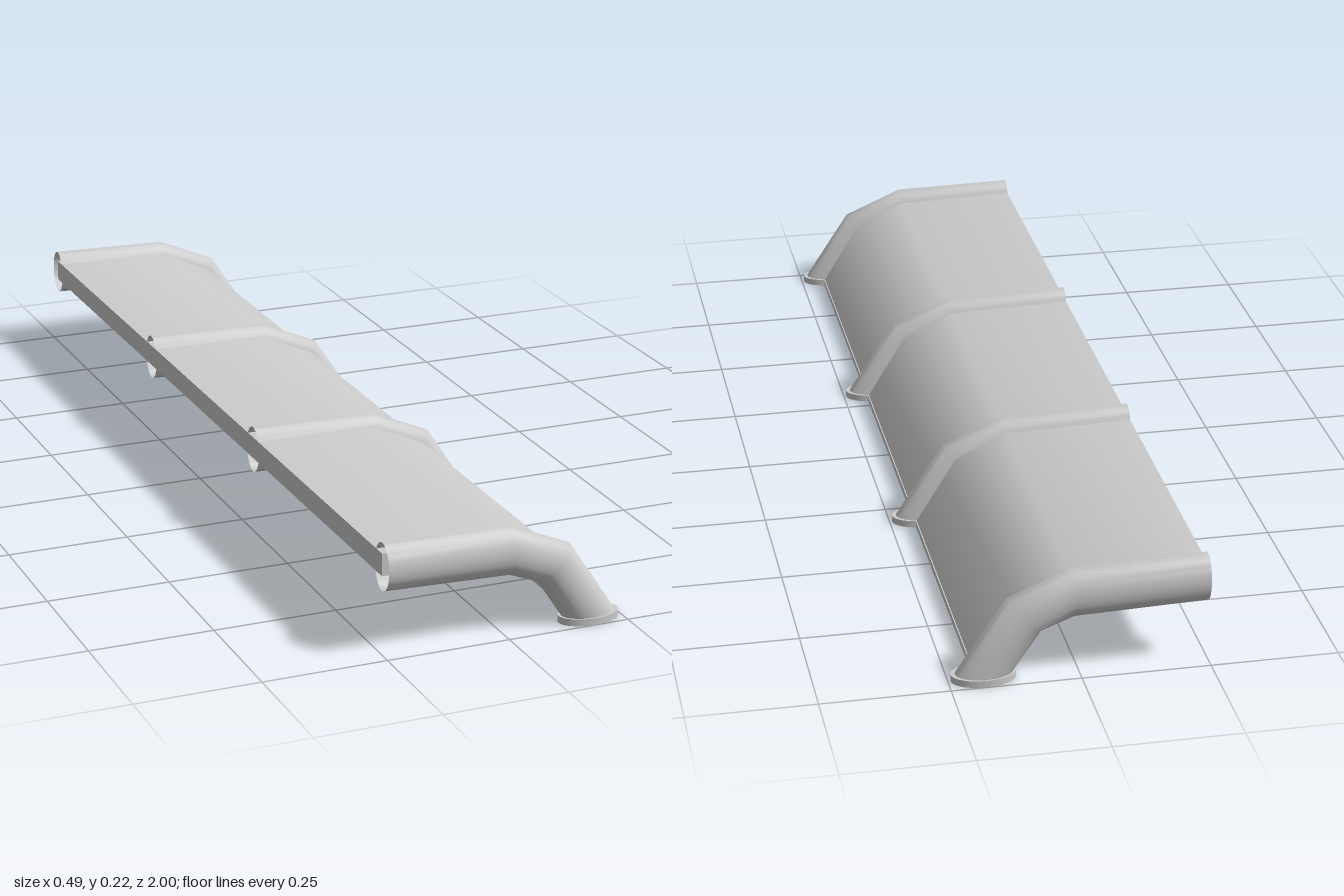
import * as THREE from 'three';
import { toCreasedNormals } from 'three/addons/utils/BufferGeometryUtils.js';

const HALF_LENGTH = 0.964;
const material = new THREE.MeshStandardMaterial({ color: 0xcccccc, side: THREE.DoubleSide });

// Rib stations: lower and upper point of each elliptical section, from open end to foot
const STATIONS = [
  [[-0.247, 0.126], [-0.247, 0.222]],
  [[0.011, 0.118], [0.011, 0.217]],
  [[0.073, 0.094], [0.139, 0.162]],
  [[0.127, 0.012], [0.238, 0.012]],
];

// Hollow bent tube lofted through the elliptical sections
function ribGeometry(halfWidth = 0.033, sides = 32) {
  const positions = [], indices = [];
  for (const [low, high] of STATIONS) {
    for (let i = 0; i <= sides; i++) {
      const a = (i / sides) * Math.PI * 2;
      const t = 0.5 + 0.5 * Math.cos(a);
      positions.push(
        low[0] + (high[0] - low[0]) * t,
        low[1] + (high[1] - low[1]) * t,
        halfWidth * Math.sin(a),
      );
    }
  }
  const row = sides + 1;
  for (let s = 0; s < STATIONS.length - 1; s++) {
    for (let i = 0; i < sides; i++) {
      const a = s * row + i, b = a + row;
      indices.push(a, a + 1, b, a + 1, b + 1, b);
    }
  }
  const geometry = new THREE.BufferGeometry();
  geometry.setAttribute('position', new THREE.Float32BufferAttribute(positions, 3));
  geometry.setIndex(indices);
  return toCreasedNormals(geometry, 0.75);
}

// Slab with the bent profile of the ribs, running the whole length
function panelGeometry() {
  const profile = [
    [-0.247, 0.155], [0.011, 0.149], [0.095, 0.117], [0.165, 0.012],
    [0.2, 0.012], [0.118, 0.145], [0.011, 0.194], [-0.247, 0.2],
  ].map(([x, y]) => new THREE.Vector2(x, y));
  const geometry = new THREE.ExtrudeGeometry(new THREE.Shape(profile), {
    depth: 2 * HALF_LENGTH, bevelEnabled: false,
  });
  geometry.translate(0, 0, -HALF_LENGTH);
  return toCreasedNormals(geometry, 0.75);
}

export function createModel() {
  const model = new THREE.Group();
  const add = (name, geometry, x = 0, y = 0, z = 0) => {
    const mesh = new THREE.Mesh(geometry, material);
    mesh.name = name;
    mesh.position.set(x, y, z);
    model.add(mesh);
    return mesh;
  };

  add('panel', panelGeometry());

  // Narrow sill under the panel's lower edge
  add('sill', new THREE.BoxGeometry(0.038, 0.014, 2 * HALF_LENGTH), 0.182, 0.007, 0);

  // Ribs with an oval foot flange each
  const rib = ribGeometry();
  const flange = new THREE.CylinderGeometry(1, 1, 0.014, 32);
  flange.scale(0.0625, 1, 0.036);
  for (const z of [-HALF_LENGTH, -0.306, 0.306, HALF_LENGTH]) {
    add('rib', rib, 0, 0, z);
    add('footFlange', flange, 0.1825, 0.007, z);
  }
  return model;
}
